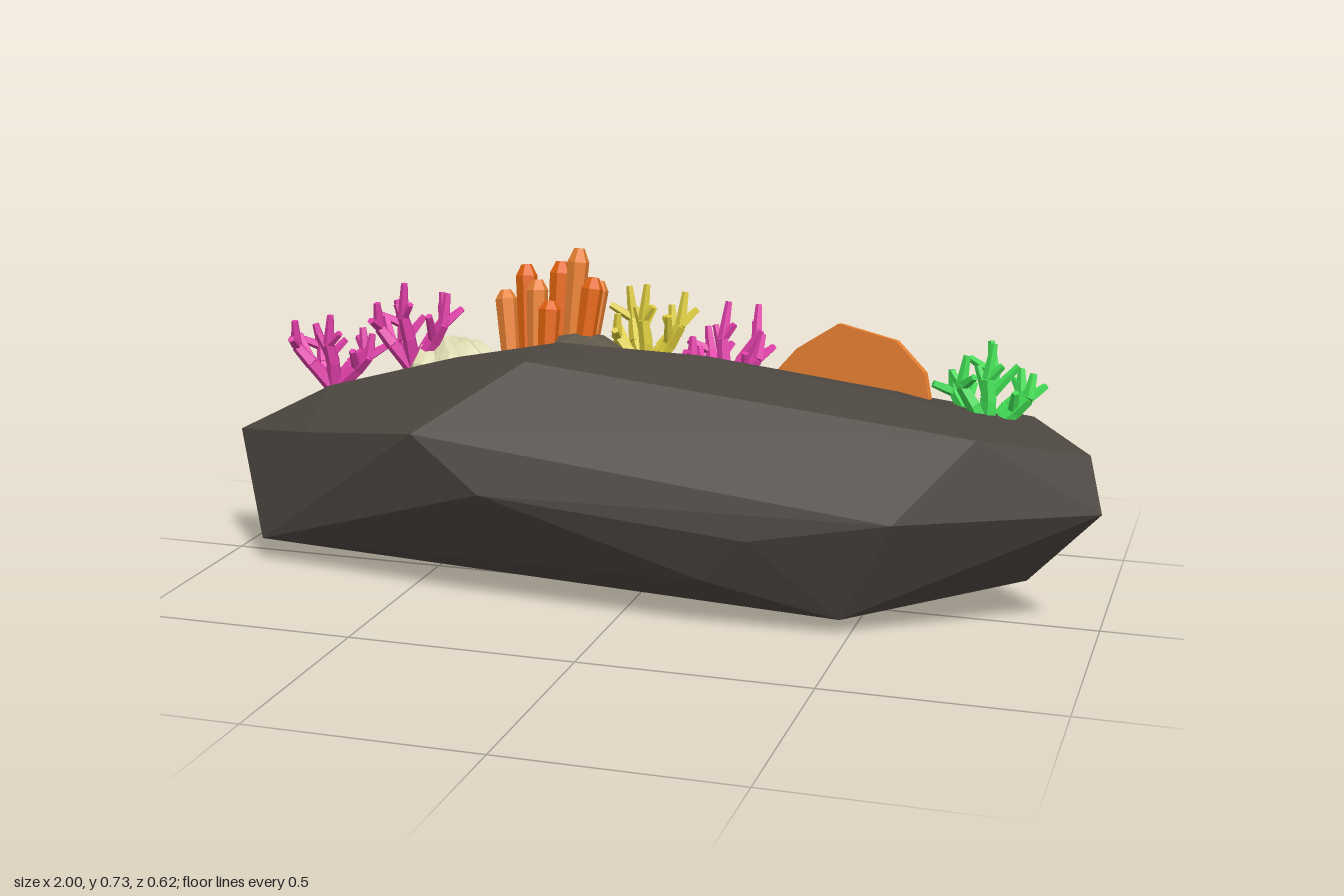
import * as THREE from 'three';
import { mergeGeometries } from 'three/addons/utils/BufferGeometryUtils.js';
import { ConvexGeometry } from 'three/addons/geometries/ConvexGeometry.js';

const V = (x, y, z) => new THREE.Vector3(x, y, z);

function material(name, color) {
  const m = new THREE.MeshStandardMaterial({ color, flatShading: true });
  m.name = name;
  return m;
}

function seeded(seed) {
  let s = seed;
  return () => (s = (s * 16807) % 2147483647) / 2147483647;
}

// Tapered prism running between two points
function limb(a, b, r0, r1, sides = 5) {
  const d = b.clone().sub(a);
  const g = new THREE.CylinderGeometry(r1, r0, d.length(), sides);
  g.applyQuaternion(new THREE.Quaternion().setFromUnitVectors(V(0, 1, 0), d.clone().normalize()));
  const mid = a.clone().add(b).multiplyScalar(0.5);
  return g.translate(mid.x, mid.y, mid.z);
}

// Antler-like bush: bent stems that spread low, fork and turn upward
function branchCoral({ base, spread, height, lean = 0, stems = 5, thick = 0.02, seed }) {
  const rnd = seeded(seed);
  const parts = [];
  const root = V(...base);
  const at = (angle, out, up) => root.clone().add(V(
    Math.cos(angle) * out * spread[0],
    up * height,
    Math.sin(angle) * out * spread[1] + lean * up));
  for (let i = 0; i < stems; i++) {
    const a = (i + rnd() * 0.4) / stems * Math.PI * 2;
    const up = i === 1 ? 1 : 0.6 + 0.35 * rnd();
    const out = i === 1 ? 0.5 : 1;
    const elbow = at(a, 0.5 * out, up * 0.38);
    const fork = at(a + 0.15, 0.8 * out, up * 0.62);
    parts.push(limb(root, elbow, thick, thick * 0.8));
    parts.push(limb(elbow, fork, thick * 0.85, thick * 0.65));
    parts.push(limb(fork, at(a, 0.85 * out, up), thick * 0.68, thick * 0.4));
    parts.push(limb(fork, at(a - 0.35, 1.15 * out, up * 0.78), thick * 0.6, thick * 0.4));
    parts.push(limb(elbow, at(a + 0.8, 0.8 * out, up * 0.75), thick * 0.65, thick * 0.4));
  }
  return mergeGeometries(parts);
}

export function createModel() {
  const model = new THREE.Group();
  const rockMat = material('dark rock', 0x4d4741);
  const ledgeMat = material('brown stone', 0x5f584a);
  const magenta = material('magenta coral', 0xdf3fa8);
  const lightOrange = material('light orange coral', 0xee8434);
  const deepOrange = material('deep orange coral', 0xe2640f);
  const yellow = material('yellow coral', 0xdaca3c);
  const green = material('green coral', 0x40d852);
  const cream = material('cream coral', 0xdedab2);

  const add = (name, geometry, mat, parent = model) => {
    const mesh = new THREE.Mesh(geometry, mat);
    mesh.name = name;
    parent.add(mesh);
    return mesh;
  };

  // Long faceted boulder
  const corners = [
    // top
    [-0.2, 0.545, 0], [-0.22, 0.538, 0.17], [0.13, 0.532, -0.02], [-0.42, 0.51, 0.06],
    [-0.77, 0.4, -0.03], [0.7, 0.455, 0.0], [0.75, 0.44, 0.17], [0.83, 0.43, -0.1], [0.97, 0.4, 0.07],
    // front
    [-0.44, 0.39, 0.285], [-0.76, 0.33, 0.13], [-0.28, 0.275, 0.31], [0.3, 0.22, 0.29],
    [0.6, 0.275, 0.27], [0.2, 0.112, 0.25],
    // ends
    [-1, 0.28, -0.03], [-0.9, 0.055, 0.085], [-0.82, 0.055, -0.1], [1, 0.28, 0.083], [0.84, 0.09, -0.02],
    // underside
    [-0.5, 0.06, 0.12], [0.48, 0.035, 0.19], [0.54, 0, -0.02], [-0.3, 0.07, -0.14],
    // back
    [-0.25, 0.2, -0.277], [-0.25, 0.335, -0.255], [0.1, 0.385, -0.225], [0.45, 0.36, -0.19],
    [0.45, 0.18, -0.195], [0.83, 0.175, -0.11], [-0.6, 0.24, -0.21], [-0.87, 0.25, -0.1],
  ].map((p) => V(...p));
  add('rock', new ConvexGeometry(corners), rockMat);

  // Low stone under the tube cluster
  const ledge = add('stoneLedge', new THREE.IcosahedronGeometry(0.12, 1), ledgeMat);
  ledge.scale.set(0.95, 0.68, 0.9);
  ledge.position.set(-0.18, 0.468, -0.09);

  // Branching corals
  add('magentaCoralEnd', branchCoral({
    base: [-0.78, 0.38, -0.08], spread: [0.115, 0.07], height: 0.18, seed: 11,
  }), magenta);
  add('magentaCoralMiddle', branchCoral({
    base: [-0.58, 0.44, -0.08], spread: [0.1, 0.075], height: 0.205, seed: 29,
  }), magenta);
  add('magentaCoralBack', branchCoral({
    base: [0.12, 0.4, -0.19], spread: [0.095, 0.065], height: 0.21, lean: -0.07, seed: 47,
  }), magenta);
  add('yellowCoral', branchCoral({
    base: [-0.05, 0.44, -0.17], spread: [0.095, 0.06], height: 0.21, lean: -0.03, seed: 83,
  }), yellow);
  add('greenCoral', branchCoral({
    base: [0.74, 0.4, -0.03], spread: [0.105, 0.06], height: 0.19, lean: -0.06, seed: 131, stems: 6,
  }), green);

  // Cluster of tubes leaning back, with bevelled tips: x, z and height of each top
  const tubes = [
    [-0.37, -0.12, 0.63], [-0.33, -0.15, 0.685], [-0.29, -0.11, 0.66], [-0.25, -0.16, 0.695],
    [-0.2, -0.14, 0.73], [-0.16, -0.12, 0.67], [-0.33, -0.2, 0.62], [-0.25, -0.21, 0.61],
    [-0.17, -0.19, 0.65], [-0.25, -0.08, 0.62],
  ].map(([x, z, top]) => {
    const foot = V(-0.25 + (x + 0.25) * 0.75, 0.43, z * 0.8 + 0.02);
    const tip = V(x, top, z);
    const neck = foot.clone().lerp(tip, 0.9);
    return mergeGeometries([limb(foot, neck, 0.019, 0.025, 6), limb(neck, tip, 0.025, 0.012, 6)]);
  });
  add('tubeCoralLight', mergeGeometries(tubes.filter((_, i) => i % 2 === 0)), lightOrange);
  add('tubeCoralDeep', mergeGeometries(tubes.filter((_, i) => i % 2 === 1)), deepOrange);

  // Fan of stacked half discs, largest and lightest in front
  const fan = new THREE.Group();
  fan.name = 'fanCoral';
  const outline = [[-0.2, -0.06], [-0.19, 0.03], [-0.14, 0.085], [-0.04, 0.148], [0.1, 0.122], [0.17, 0.06], [0.2, -0.06]];
  [1, 0.84, 0.66].forEach((s, i) => {
    const shape = new THREE.Shape(outline.map(([x, y]) => new THREE.Vector2(x * s, y * s)));
    const layer = new THREE.ExtrudeGeometry(shape, { depth: 0.016, bevelEnabled: false });
    add('fanLayer', layer, i === 0 ? lightOrange : deepOrange, fan).position.z = -0.014 * i;
  });
  fan.position.set(0.44, 0.452, -0.11);
  fan.rotation.set(-0.12, -0.27, 0);
  model.add(fan);

  // Round coral with winding grooves
  const radius = 0.125;
  const ball = new THREE.SphereGeometry(radius, 36, 14);
  const pos = ball.attributes.position;
  const p = V(0, 0, 0);
  for (let i = 0; i < pos.count; i++) {
    p.fromBufferAttribute(pos, i);
    const around = Math.atan2(p.z, p.x);
    const fromPole = Math.hypot(p.x, p.z) / radius;
    const groove = Math.sin(9 * around + 2 * Math.sin(p.y * 40));
    p.multiplyScalar(1 + 0.06 * groove * Math.min(1, fromPole * 1.5));
    pos.setXYZ(i, p.x, p.y, p.z);
  }
  ball.computeVertexNormals();
  const brain = add('roundCoral', ball, cream);
  brain.position.set(-0.5, 0.385, -0.12);
  brain.rotation.x = -0.5;

  return model;
}
